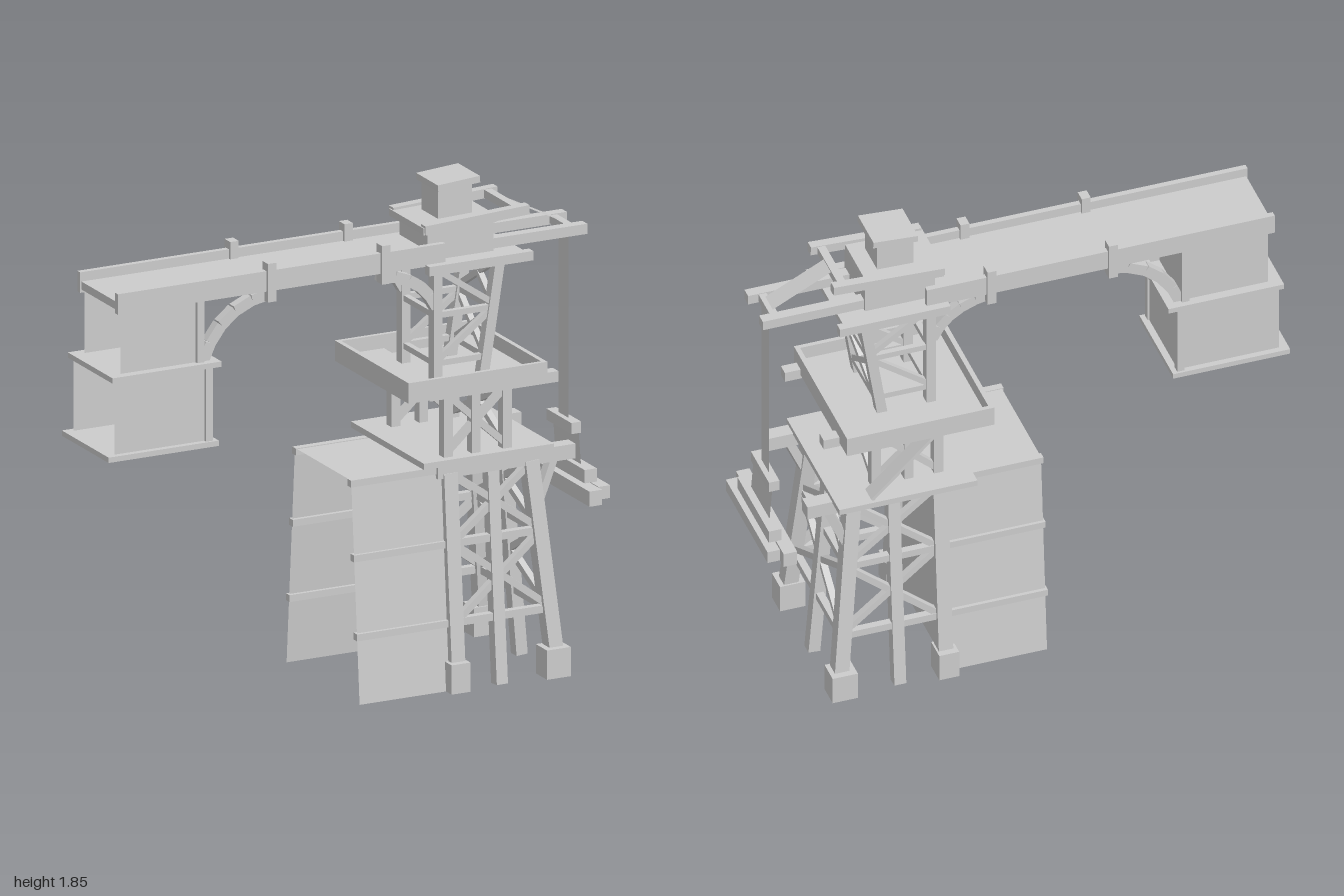
import * as THREE from 'three';

export function createModel() {
  const root = new THREE.Group();
  const mat = new THREE.MeshStandardMaterial({ color: 0xcccccc, flatShading: true });
  const sheetMat = new THREE.MeshStandardMaterial({ color: 0xcccccc, flatShading: true, side: THREE.DoubleSide });
  const group = (name) => {
    const g = new THREE.Group();
    g.name = name;
    root.add(g);
    return g;
  };
  // axis-aligned box from its limits
  const box = (g, name, x0, x1, y0, y1, z0, z1) => {
    const m = new THREE.Mesh(new THREE.BoxGeometry(x1 - x0, y1 - y0, z1 - z0), mat);
    m.position.set((x0 + x1) / 2, (y0 + y1) / 2, (z0 + z1) / 2);
    m.name = name;
    g.add(m);
    return m;
  };
  // square timber between two points
  const timber = (g, name, a, b, w = 0.025, d = w) => {
    const p = new THREE.Vector3(...a), q = new THREE.Vector3(...b);
    const m = new THREE.Mesh(new THREE.BoxGeometry(w, d, p.distanceTo(q)), mat);
    m.position.copy(p).add(q).multiplyScalar(0.5);
    const dir = q.clone().sub(p).normalize();
    if (Math.abs(dir.y) > 0.98) m.up.set(1, 0, 0);
    m.lookAt(q);
    m.name = name;
    g.add(m);
    return m;
  };
  // thin sheet with four corners
  const sheet = (g, name, a, b, c, d) => {
    const geo = new THREE.BufferGeometry();
    geo.setAttribute('position', new THREE.Float32BufferAttribute([...a, ...b, ...c, ...d], 3));
    geo.setIndex([0, 1, 2, 0, 2, 3]);
    geo.computeVertexNormals();
    const m = new THREE.Mesh(geo, sheetMat);
    m.name = name;
    g.add(m);
  };
  const sides = [1, -1];

  // Trestle: splayed legs, centre posts and cross braces
  const trestle = group('trestle');
  const legZ = (y) => 0.285 - 0.085 * y;
  const legX = (y) => 0.755 - 0.095 * y;
  const tiers = [[0.26, 0.53], [0.55, 0.79]];
  for (const s of sides) {
    for (const right of [false, true]) {
      const x = (y) => (right ? legX(y) : 0.35);
      timber(trestle, 'cornerLeg', [x(0.08), 0.08, s * legZ(0.08)], [x(0.8), 0.8, s * legZ(0.8)], 0.055);
      const fx = right ? 0.742 : 0.347, hw = right ? 0.048 : 0.038;
      box(trestle, 'foot', fx - hw, fx + hw, 0, 0.11, s * 0.285 - 0.044, s * 0.285 + 0.044);
    }
    timber(trestle, 'middlePost', [0.525, 0, s * 0.285], [0.525, 0.8, s * 0.215], 0.045);
    for (const y of [0.25, 0.54])
      timber(trestle, 'sideRail', [0.35, y, s * legZ(y)], [legX(y), y, s * legZ(y)], 0.028);
    for (const [a, b] of tiers) {
      timber(trestle, 'sideBrace', [0.37, a, s * legZ(a)], [legX(b), b, s * legZ(b)]);
      timber(trestle, 'sideBrace', [0.37, b, s * legZ(b)], [legX(a), a, s * legZ(a)]);
      timber(trestle, 'endBrace', [legX(a), a, s * legZ(a)], [legX(b), b, -s * legZ(b)]);
    }
    timber(trestle, 'kneeBrace', [0.7, 0.63, s * 0.23], [0.775, 0.8, s * 0.215], 0.032);
  }
  timber(trestle, 'endPost', [0.752, 0, 0], [0.685, 0.8, 0], 0.045);
  for (const y of [0.25, 0.54])
    timber(trestle, 'endRail', [legX(y), y, legZ(y)], [legX(y), y, -legZ(y)], 0.028);

  // Clad base beside the trestle, open at its far end
  const base = group('cladBase');
  for (const s of sides) {
    sheet(base, 'sidePanel', [-0.04, 0, s * 0.285], [0.33, 0, s * 0.285], [0.33, 0.82, s * 0.22], [-0.04, 0.82, s * 0.22]);
    for (const y of [0.25, 0.54, 0.815])
      box(base, 'panelBatten', -0.046, 0.33, y - 0.013, y + 0.013, s * legZ(y) - 0.014, s * legZ(y) + 0.014);
  }
  sheet(base, 'endPanel', [0.33, 0, 0.285], [0.33, 0, -0.285], [0.33, 0.82, -0.22], [0.33, 0.82, 0.22]);
  sheet(base, 'topPanel', [-0.04, 0.825, 0.22], [0.33, 0.825, 0.22], [0.33, 0.825, -0.22], [-0.04, 0.825, -0.22]);

  // Lower deck
  const lower = group('lowerDeck');
  box(lower, 'deckPlate', 0.235, 0.76, 0.835, 0.858, -0.315, 0.255);
  for (const s of sides) box(lower, 'deckBeam', 0.3, 0.855, 0.785, 0.84, s * 0.212 - 0.028, s * 0.212 + 0.028);
  for (const x of [0.35, 0.68]) box(lower, 'crossBeam', x - 0.025, x + 0.025, 0.785, 0.835, -0.24, 0.24);

  // Frame between the decks
  const frame = group('middleFrame');
  for (const s of sides) {
    for (const x of [0.35, 0.588]) box(frame, 'post', x - 0.018, x + 0.018, 0.855, 1.11, s * 0.205 - 0.02, s * 0.205 + 0.02);
    box(frame, 'post', 0.445, 0.48, 0.855, 1.11, s * 0.205 - 0.018, s * 0.205 + 0.018);
    timber(frame, 'sideBrace', [0.36, 0.88, s * 0.205], [0.58, 1.08, s * 0.205]);
    timber(frame, 'sideBrace', [0.36, 1.08, s * 0.205], [0.58, 0.88, s * 0.205]);
    timber(frame, 'endBrace', [0.588, 0.88, s * 0.2], [0.588, 1.08, -s * 0.2]);
    box(frame, 'deckBeam', 0.27, 0.79, 1.08, 1.12, s * 0.21 - 0.022, s * 0.21 + 0.022);
  }

  // Tray-shaped middle deck with a stair gap at the back
  const tray = group('middleDeck');
  box(tray, 'floor', 0.18, 0.725, 1.1, 1.12, -0.235, 0.255);
  box(tray, 'floorEnd', 0.18, 0.36, 1.1, 1.12, -0.31, -0.235);
  box(tray, 'floorEnd', 0.63, 0.725, 1.1, 1.12, -0.31, -0.235);
  box(tray, 'frontRim', 0.17, 0.73, 1.095, 1.172, 0.245, 0.262);
  box(tray, 'backRim', 0.17, 0.73, 1.095, 1.172, -0.315, -0.298);
  box(tray, 'endRim', 0.17, 0.188, 1.095, 1.172, -0.3, 0.25);
  box(tray, 'endRim', 0.712, 0.73, 1.095, 1.172, -0.3, 0.25);
  timber(tray, 'stairRamp', [0.63, 0.86, -0.27], [0.37, 1.11, -0.27], 0.065, 0.012);

  // Upper tower
  const tower = group('upperTower');
  const topX = (y) => 0.545 + (y - 1.12) * 0.13;
  for (const s of sides) {
    const z = s * 0.125;
    box(tower, 'straightLeg', 0.332, 0.368, 1.11, 1.54, z - 0.02, z + 0.02);
    timber(tower, 'slantedLeg', [0.535, 1.11, z], [0.602, 1.54, z], 0.038);
    for (const y of [1.185, 1.365]) timber(tower, 'sideRail', [0.35, y, z], [topX(y), y, z], 0.022);
    timber(tower, 'sideBrace', [0.36, 1.2, z], [topX(1.36), 1.36, z], 0.022);
    timber(tower, 'sideBrace', [0.36, 1.53, z], [topX(1.38), 1.38, z], 0.022);
    for (const [a, b] of [[1.18, 1.35], [1.38, 1.54]])
      timber(tower, 'endBrace', [topX(a), a, z], [topX(b), b, -z], 0.022);
    box(tower, 'headBeam', 0.292, 0.712, 1.535, 1.57, s * 0.17 - 0.017, s * 0.17 + 0.017);
  }
  for (const y of [1.185, 1.365]) for (const x of [0.35, topX(y)])
    timber(tower, 'crossRail', [x, y, 0.125], [x, y, -0.125], 0.022);
  box(tower, 'headPlate', 0.31, 0.69, 1.545, 1.567, -0.16, 0.16);

  // Winch house, roof and small turret
  const house = group('winchHouse');
  box(house, 'houseBody', 0.325, 0.59, 1.565, 1.685, -0.11, 0.11);
  box(house, 'roof', 0.295, 0.59, 1.678, 1.705, -0.135, 0.135).rotation.z = 0.03;
  for (const s of sides) timber(house, 'roofRail', [0.3, 1.692, s * 0.125], [0.72, 1.712, s * 0.125], 0.035);
  box(house, 'turret', 0.39, 0.528, 1.69, 1.825, -0.065, 0.065);
  box(house, 'turretLid', 0.38, 0.55, 1.817, 1.842, -0.085, 0.085).rotation.z = 0.07;
  box(house, 'roller', 0.665, 0.695, 1.695, 1.725, -0.125, 0.125);

  // Hoist: twin jibs, belt and hanging load
  const hoist = group('hoist');
  for (const s of sides) box(hoist, 'jib', 0.59, 0.975, 1.572, 1.61, s * 0.08 - 0.02, s * 0.08 + 0.02);
  box(hoist, 'jibRoller', 0.905, 0.935, 1.577, 1.607, -0.07, 0.07);
  const w = 0.04;
  sheet(hoist, 'belt', [0.69, 1.722, w], [0.69, 1.722, -w], [0.93, 1.6, -w], [0.93, 1.6, w]);
  sheet(hoist, 'belt', [0.93, 1.6, w], [0.93, 1.6, -w], [0.93, 0.85, -w], [0.93, 0.85, w]);
  box(hoist, 'liftingBar', 0.91, 0.95, 0.828, 0.87, -0.095, 0.1);
  sheet(hoist, 'sling', [0.94, 0.83, 0.1], [0.94, 0.83, -0.1], [0.95, 0.7, -0.1], [0.95, 0.7, 0.1]);
  box(hoist, 'hungBeam', 0.898, 0.949, 0.603, 0.66, -0.252, 0.265);
  box(hoist, 'hungBeam', 0.953, 1.0, 0.612, 0.66, -0.222, 0.23);
  box(hoist, 'hungBeam', 0.928, 0.977, 0.66, 0.71, -0.17, 0.17);

  // Bridge with side girders, clamps and curved brackets
  const bridge = group('bridge');
  box(bridge, 'bridgeDeck', -0.945, 0.34, 1.575, 1.605, -0.14, 0.14);
  const arch = (x0, y0, x1, y1, z) => {
    const pts = new THREE.QuadraticBezierCurve(new THREE.Vector2(x0, y0),
      new THREE.Vector2(x0 + (x1 - x0) * 0.25, y1 - 0.02), new THREE.Vector2(x1, y1)).getPoints(5);
    for (let i = 0; i < 5; i++)
      timber(bridge, 'curvedBracket', [pts[i].x, pts[i].y, z], [pts[i + 1].x, pts[i + 1].y, z], 0.035, 0.042);
  };
  for (const s of sides) {
    box(bridge, 'girder', -0.95, 0.372, 1.563, 1.64, s * 0.147 - 0.011, s * 0.147 + 0.011);
    for (const x of [-0.333, 0.128])
      box(bridge, 'clamp', x - 0.017, x + 0.017, 1.525, 1.67, s * 0.147 - 0.022, s * 0.147 + 0.022);
    arch(-0.6, 1.32, -0.32, 1.548, s * 0.125);
    arch(0.345, 1.4, 0.115, 1.548, s * 0.125);
  }

  // Hanging pier, open at its far end
  const pier = group('pier');
  for (const [x0, x1, y0, y1, z] of [[-0.93, -0.605, 1.33, 1.57, 0.14], [-0.965, -0.58, 1.035, 1.315, 0.16]]) {
    for (const s of sides) {
      sheet(pier, 'sidePanel', [x0, y0, s * z], [x1, y0, s * z], [x1, y1, s * z], [x0, y1, s * z]);
      box(pier, 'cornerPost', x1 - 0.022, x1 + 0.006, y0, y1, s * z - 0.014, s * z + 0.014);
    }
    sheet(pier, 'endPanel', [x1, y0, z], [x1, y0, -z], [x1, y1, -z], [x1, y1, z]);
  }
  box(pier, 'middleLedge', -0.98, -0.54, 1.313, 1.333, -0.175, 0.175);
  box(pier, 'bottomPlate', -1, -0.555, 1.02, 1.04, -0.183, 0.183);
  return root;
}
